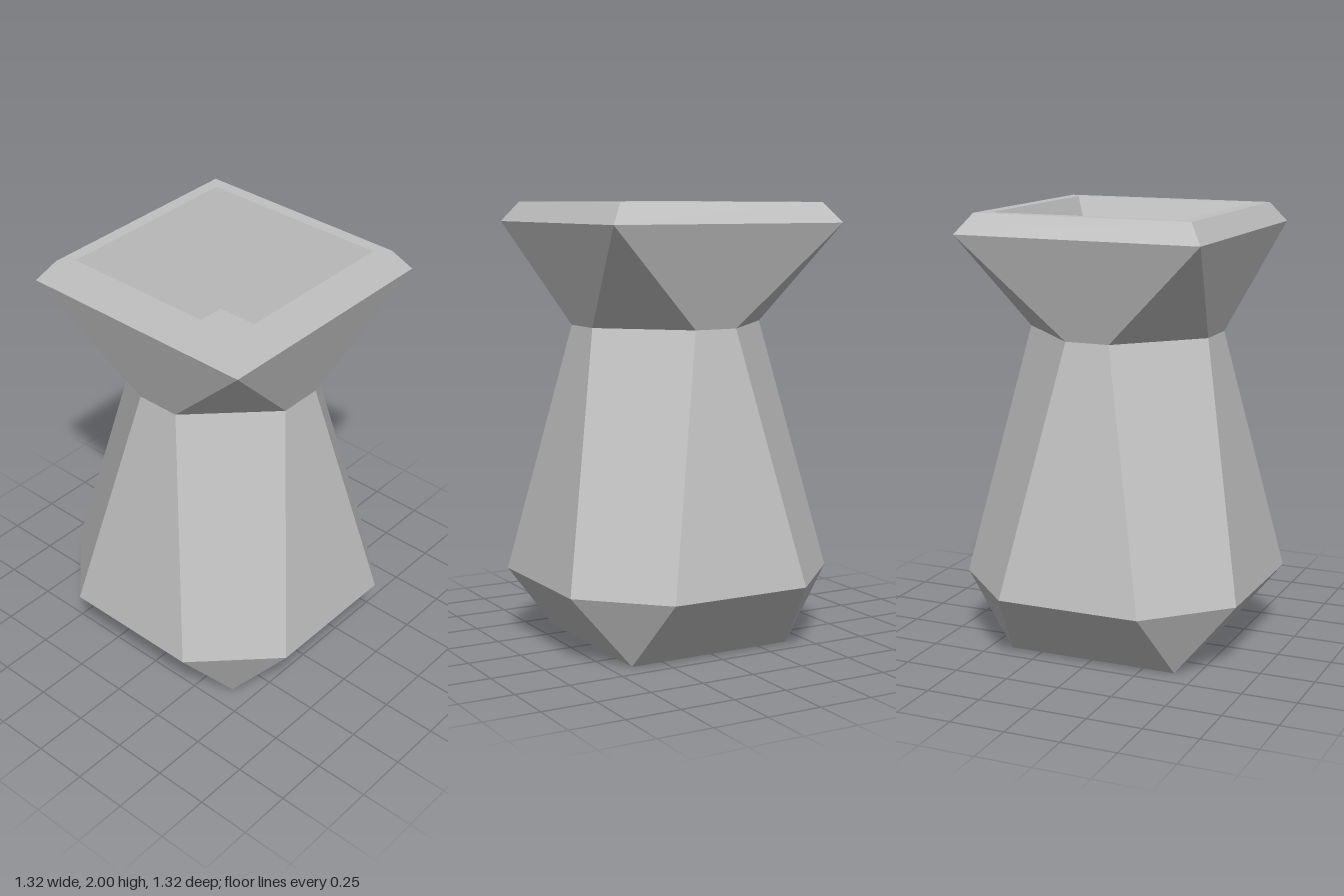
import * as THREE from 'three';

// Square section with cut corners: half width a, half length of the flat b
function ring([y, a, b]) {
  return [[-b, a], [b, a], [a, b], [a, -b], [b, -a], [-b, -a], [-a, -b], [-a, b]]
    .map(([x, z]) => new THREE.Vector3(x, y, z));
}

// Join sections in order, with optional flat caps at the first and last one
function loft(sections, capStart = false, capEnd = false) {
  const rings = sections.map(ring);
  const points = [];
  const tri = (p, q, r) => {
    const area = q.clone().sub(p).cross(r.clone().sub(p)).length();
    if (area > 1e-6) points.push(p, q, r);
  };
  for (let k = 0; k < rings.length - 1; k++) {
    const lo = rings[k], hi = rings[k + 1];
    for (let i = 0; i < 8; i++) {
      const j = (i + 1) % 8;
      tri(lo[i], lo[j], hi[j]);
      tri(lo[i], hi[j], hi[i]);
    }
  }
  const first = rings[0], last = rings[rings.length - 1];
  for (let i = 1; i < 7; i++) {
    if (capStart) tri(first[0], first[i + 1], first[i]);
    if (capEnd) tri(last[0], last[i], last[i + 1]);
  }
  const geometry = new THREE.BufferGeometry().setFromPoints(points);
  geometry.computeVertexNormals();
  return geometry;
}

export function createModel() {
  const group = new THREE.Group();
  group.name = 'vase';
  const stone = new THREE.MeshStandardMaterial({ color: 0xc0c0c0 });
  stone.name = 'lightGrey';

  // Sections as [height, half width, half flat]
  const foot = [0, 0.4, 0.4];
  const belly = [0.32, 0.66, 0.33];
  const neck = [1.455, 0.432, 0.102];
  const lip = [1.91, 0.567, 0.567];
  const rimOuter = [2, 0.502, 0.502];
  const rimInner = [2, 0.445, 0.445];
  const bowlFloor = [1.53, 0.242, 0.242];

  const add = (name, geometry) => {
    const mesh = new THREE.Mesh(geometry, stone);
    mesh.name = name;
    group.add(mesh);
  };
  add('base', loft([foot, belly], true));
  add('body', loft([belly, neck]));
  add('flaredNeck', loft([neck, lip]));
  add('rim', loft([lip, rimOuter, rimInner]));
  add('hollow', loft([rimInner, bowlFloor], false, true));
  return group;
}
